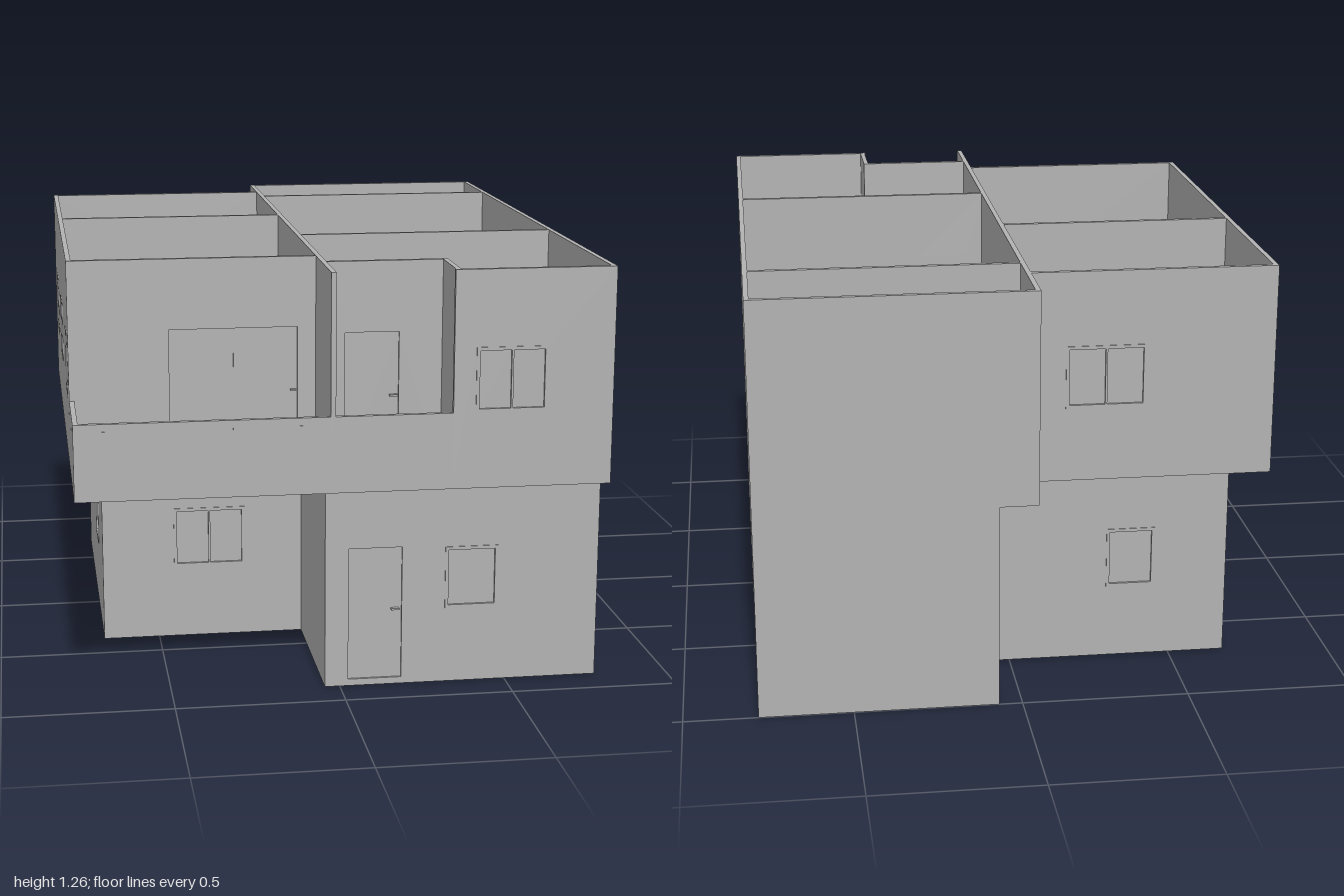
import * as THREE from 'three';

const T = 0.015; // wall thickness
const F1 = 0.625, F2 = 0.64, TOP = 1.265, RAIL = 0.85;

const plaster = new THREE.MeshStandardMaterial({ color: 0xb2b2b2 });
plaster.name = 'plaster grey';

function add(parent, name, geometry) {
  const mesh = new THREE.Mesh(geometry, plaster);
  mesh.name = name;
  parent.add(mesh);
  return mesh;
}

// Box given by its two extreme corners
function box(parent, name, x0, x1, y0, y1, z0, z1) {
  const m = add(parent, name, new THREE.BoxGeometry(x1 - x0, y1 - y0, z1 - z0));
  m.position.set((x0 + x1) / 2, (y0 + y1) / 2, (z0 + z1) / 2);
  return m;
}

function rectPoints(a, b, c, d) {
  return [[a, c], [b, c], [b, d], [a, d]].map(p => new THREE.Vector2(...p));
}

// Rectangle with rectangular holes, extruded along +z
function panel(parent, name, rect, holes, depth, z) {
  const shape = new THREE.Shape(rectPoints(...rect));
  for (const h of holes) shape.holes.push(new THREE.Path(rectPoints(...h).reverse()));
  const m = add(parent, name, new THREE.ExtrudeGeometry(shape, { depth, bevelEnabled: false }));
  m.position.z = z;
  return m;
}

// Framed window with one or two panes set back in the wall
function windowUnit(parent, [a, b, c, d], panes) {
  const g = new THREE.Group();
  g.name = 'window';
  const f = 0.01, mid = (a + b) / 2;
  const inner = panes === 2
    ? [[a + f, mid - 0.003, c + f, d - f], [mid + 0.003, b - f, c + f, d - f]]
    : [[a + f, b - f, c + f, d - f]];
  panel(g, 'windowFrame', [a, b, c, d], inner, T + 0.005, -0.0025);
  for (const [p, q, r, s] of inner) box(g, 'windowPane', p, q, r, s, T / 2 - 0.002, T / 2 + 0.002);
  parent.add(g);
}

// Door leaf set back in the wall, with a lever on both sides
function doorUnit(parent, [a, b, c, d], leaves, handle) {
  const g = new THREE.Group();
  g.name = 'door';
  const w = (b - a) / leaves;
  for (let i = 0; i < leaves; i++) {
    const z = 0.003 + i * 0.003;
    box(g, 'doorLeaf', a + i * w, a + (i + 1) * w, c, d, z, z + 0.005);
  }
  box(g, 'doorHandle', handle - 0.012, handle + 0.012, c + 0.212, c + 0.217, -0.006, T + 0.006);
  parent.add(g);
}

// Straight wall; axis is its running direction, at is its lower face coordinate.
// Openings: { type, a, b, c, d, n, handle } with a, b along the axis and c, d in height.
function wall(parent, name, axis, at, from, to, y0, y1, openings = []) {
  const g = new THREE.Group();
  g.name = name;
  const flip = axis === 'z';
  const span = (a, b) => (flip ? [-b, -a] : [a, b]);
  const rects = openings.map(o => [...span(o.a, o.b), o.c, o.d]);
  panel(g, name + 'Panel', [...span(from, to), y0, y1], rects, T, 0);
  openings.forEach((o, i) => {
    if (o.type === 'window') windowUnit(g, rects[i], o.n);
    else doorUnit(g, rects[i], o.n, flip ? -o.handle : o.handle);
  });
  if (flip) {
    g.rotation.y = Math.PI / 2;
    g.position.x = at;
  } else g.position.z = at;
  parent.add(g);
}

const win = (a, b, c, n = 1) => ({ type: 'window', a, b, c, d: c + 0.19, n });
const door = (a, b, c, handle, n = 1) => ({ type: 'door', a, b, c, d: c + 0.405, n, handle });

// Floor plate from a plan outline of [x, z] points
function slab(parent, name, outline, y0, y1, hole) {
  const shape = new THREE.Shape(outline.map(([x, z]) => new THREE.Vector2(x, -z)));
  if (hole) shape.holes.push(new THREE.Path(rectPoints(hole[0], hole[1], -hole[3], -hole[2])));
  const geo = new THREE.ExtrudeGeometry(shape, { depth: y1 - y0, bevelEnabled: false });
  geo.rotateX(-Math.PI / 2);
  add(parent, name, geo).position.y = y0;
}

function groundFloor() {
  const g = new THREE.Group();
  g.name = 'groundFloor';
  slab(g, 'groundSlab', [[0.07, -1], [0.78, -1], [0.78, 0.885], [-0.045, 0.885],
    [-0.045, 0.37], [-0.675, 0.37], [-0.675, -0.7], [0.07, -0.7]], 0, 0.012);
  const w = (name, axis, at, a, b, o) => wall(g, name, axis, at, a, b, 0.012, F1, o);
  w('frontWall', 'x', 0.87, -0.045, 0.78, [door(0.025, 0.185, 0.02, 0.165), win(0.315, 0.475, 0.23)]);
  w('leftSideWall', 'z', 0.765, -0.985, 0.87);
  w('backWall', 'x', -1, 0.07, 0.78);
  w('backStepWall', 'z', 0.07, -0.985, -0.7);
  w('wingBackWall', 'x', -0.7, -0.675, 0.085, [win(-0.45, -0.3, 0.23)]);
  w('wingSideWall', 'z', -0.675, -0.685, 0.355, [win(-0.06, 0.09, 0.23)]);
  w('wingFrontWall', 'x', 0.355, -0.675, -0.045, [win(-0.45, -0.225, 0.23, 2)]);
  w('entranceSideWall', 'z', -0.045, 0.355, 0.87);
  return g;
}

function upperFloor() {
  const g = new THREE.Group();
  g.name = 'upperFloor';
  slab(g, 'upperSlab', [[-0.045, -1], [0.78, -1], [0.78, 0.985], [-0.775, 0.985],
    [-0.775, -0.805], [-0.045, -0.805]], F1, F2, [0.24, 0.765, -0.13, 0.25]);
  const w = (name, axis, at, a, b, o, top = TOP) => wall(g, name, axis, at, a, b, F2, top, o);
  // Outer walls
  w('leftSideWall', 'z', 0.765, -0.985, 0.97);
  w('backWall', 'x', -1, -0.045, 0.78);
  w('wingBackWall', 'x', -0.805, -0.775, -0.045, [win(-0.39, -0.15, RAIL, 2)]);
  w('wingSideWall', 'z', -0.775, -0.79, 0.685,
    [win(-0.48, -0.32, RAIL), win(-0.045, 0.11, RAIL), win(0.49, 0.64, RAIL)]);
  w('wingFrontWall', 'x', 0.67, -0.76, -0.045, [door(-0.48, -0.1, 0.65, -0.11, 2)]);
  w('frontRoomWall', 'x', 0.97, 0.31, 0.78, [win(0.375, 0.585, RAIL, 2)]);
  w('frontStepWall', 'z', 0.313, 0.782, 0.97);
  w('smallBalconyWall', 'x', 0.782, -0.03, 0.313, [door(0.025, 0.185, 0.65, 0.17)]);
  // Inner walls
  w('centreWall', 'z', -0.045, -0.985, 0.985,
    [door(-0.43, -0.26, 0.65, -0.39), door(-0.045, 0.125, 0.65, -0.015)]);
  w('wingPartition', 'x', -0.205, -0.76, -0.045);
  w('backPartition', 'x', -0.69, -0.03, 0.765, [door(0.02, 0.18, 0.65, 0.155)]);
  w('stairPartition', 'x', 0.253, -0.03, 0.765, [door(0.02, 0.18, 0.65, 0.045)]);
  // Balcony parapets
  w('balconyParapet', 'x', 0.97, -0.775, -0.045, [], RAIL);
  w('balconySideParapet', 'z', -0.775, 0.685, 0.97, [], RAIL);
  w('smallBalconyParapet', 'x', 0.97, -0.03, 0.31, [], RAIL);
  // Small drain spouts in the parapets
  for (const x of [-0.69, -0.5, -0.32, -0.13]) box(g, 'drainSpout', x - 0.004, x + 0.004, 0.823, 0.828, 0.98, 0.988);
  for (const z of [0.74, 0.93]) box(g, 'drainSpout', -0.778, -0.77, 0.823, 0.828, z - 0.004, z + 0.004);
  return g;
}

// Sloped bar between two points in the x-y plane
function rail(parent, x0, y0, x1, y1, z) {
  const m = add(parent, 'handrail', new THREE.BoxGeometry(Math.hypot(x1 - x0, y1 - y0), 0.01, 0.01));
  m.position.set((x0 + x1) / 2, (y0 + y1) / 2, z);
  m.rotation.z = Math.atan2(y1 - y0, x1 - x0);
}

// Two flights joined by a half landing
function staircase() {
  const g = new THREE.Group();
  g.name = 'staircase';
  const n = 6, run = 0.055, half = 0.32, rise = half / n;
  for (let i = 0; i < n; i++) {
    const yA = 0.012 + (i + 1) * (half - 0.012) / (n + 1);
    box(g, 'lowerStep', 0.25 + i * run, 0.25 + (i + 1) * run, yA - 0.045, yA, 0.085, 0.245);
    const yB = half + (i + 1) * (F2 - half) / (n + 1);
    box(g, 'upperStep', 0.605 - (i + 1) * run, 0.605 - i * run, yB - rise, yB, -0.125, 0.035);
  }
  box(g, 'landing', 0.6, 0.765, half - 0.015, half, -0.125, 0.245);
  rail(g, 0.25, 0.18, 0.61, half + 0.13, 0.085);
  rail(g, 0.24, F2 + 0.13, 0.61, half + 0.13, 0.04);
  // Guard rail beside the stairwell
  box(g, 'guardRail', 0.24, 0.765, F2 + 0.12, F2 + 0.13, -0.141, -0.131);
  for (let i = 0; i < 6; i++) {
    const x = 0.245 + i * 0.1;
    box(g, 'guardPost', x - 0.004, x + 0.004, F2, F2 + 0.12, -0.14, -0.132);
  }
  return g;
}

export function createModel() {
  const model = new THREE.Group();
  model.name = 'house';
  model.add(groundFloor(), upperFloor(), staircase());
  return model;
}
